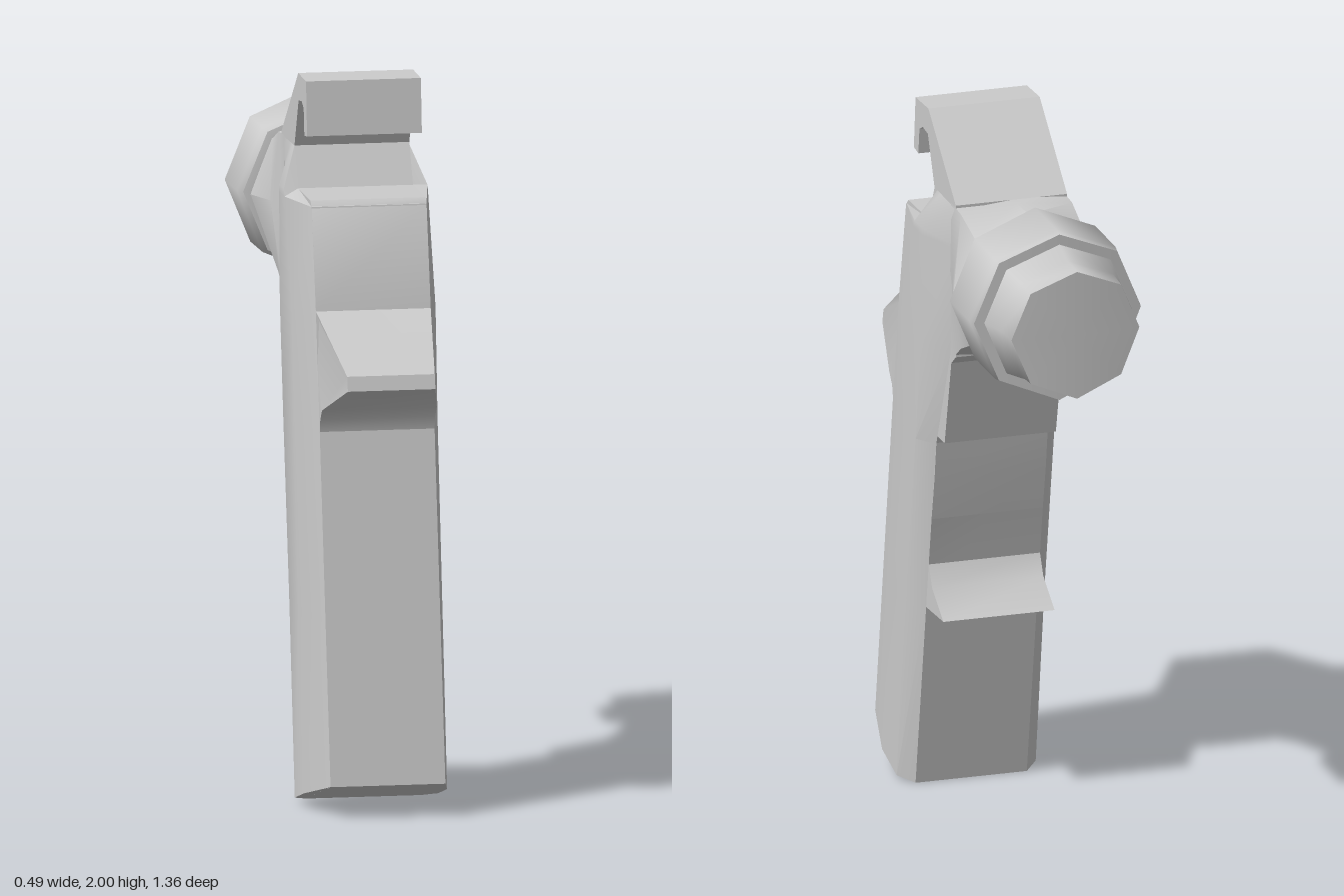
import * as THREE from 'three';
import { toCreasedNormals } from 'three/addons/utils/BufferGeometryUtils.js';

const HALF = 0.16; // half width of the flat outline

export function createModel() {
  const group = new THREE.Group();
  const material = new THREE.MeshStandardMaterial({ color: 0xcccccc });

  function add(name, geometry, crease = 0.6) {
    const mesh = new THREE.Mesh(toCreasedNormals(geometry, crease), material);
    mesh.name = name;
    group.add(mesh);
    return mesh;
  }

  // Side outline given as [z, y], extruded across x
  function slab(points) {
    const shape = new THREE.Shape(points.map(([z, y]) => new THREE.Vector2(z, y)));
    const g = new THREE.ExtrudeGeometry(shape, { depth: 2 * HALF, bevelEnabled: false });
    return g.translate(0, 0, -HALF).rotateY(-Math.PI / 2);
  }

  // Skin over equal-length rings of [x, y, z], capped at both ends
  function loft(rings) {
    const n = rings[0].length;
    const index = [];
    for (let i = 0; i < rings.length - 1; i++) {
      for (let j = 0; j < n; j++) {
        const k = (j + 1) % n;
        const a = i * n + j, b = i * n + k;
        index.push(a, b, b + n, a, b + n, a + n);
      }
    }
    const last = (rings.length - 1) * n;
    for (let j = 1; j < n - 1; j++) {
      index.push(0, j + 1, j, last, last + j, last + j + 1);
    }
    const g = new THREE.BufferGeometry();
    g.setAttribute('position', new THREE.Float32BufferAttribute(rings.flat(2), 3));
    g.setIndex(index);
    return g;
  }

  // Grip with top hook, trigger step and lower finger rest
  add('gripBody', slab([
    [0.626, 0.095], [0.265, 0.005], [0.17, 0.547], [0.016, 0.555], [0.117, 0.62],
    [0.15, 0.684], [0.095, 0.945], [0.075, 1.077], [0.005, 1.077], [-0.055, 1.33],
    [-0.095, 1.36], [-0.095, 1.80], [0.15, 2.0], [0.265, 1.995], [0.28, 1.845],
    [0.24, 1.84], [0.23, 1.915], [0.20, 1.93], [0.155, 1.925], [0.095, 1.79],
    [0.15, 1.68], [0.33, 1.675], [0.35, 1.655], [0.41, 1.38], [0.467, 1.055],
  ]));

  // Swollen sides of the grip: [y, half width, front, mid front, mid back, back]
  const swell = [
    [0, 0.2, 0.626, 0.44, 0.31, 0.265],
    [0.55, 0.2, 0.55, 0.37, 0.23, 0.17],
    [1.05, 0.2, 0.467, 0.3, 0.14, 0.08],
    [1.36, 0.2, 0.413, 0.27, 0.09, -0.05],
    [1.66, 0.2, 0.348, 0.16, 0.08, -0.09],
    [1.68, 0.2, 0.15, 0.149, 0.08, -0.09],
    [1.79, HALF, 0.095, 0.07, 0.04, -0.09],
  ].map(([y, w, f, m1, m2, b], i) => {
    const half = [[HALF, f], [w, m1], [w, m2], [HALF, b]];
    const mirrored = half.map(([x, z]) => [-x, z]).reverse();
    // The lowest ring follows the sloped base
    return [...half, ...mirrored].map(([x, z]) =>
      [x, i === 0 ? 0.005 + (z - 0.265) * 0.25 : y, z]);
  });
  add('gripSides', loft(swell));

  // Thumb spur, narrowing to its tip
  const spur = slab([
    [0.35, 1.38], [0.35, 1.05], [0.467, 1.055], [0.475, 1.09], [0.5, 1.12],
    [0.68, 1.2], [0.67, 1.24], [0.41, 1.38],
  ]);
  const p = spur.attributes.position;
  for (let i = 0; i < p.count; i++) {
    if (p.getZ(i) > 0.6) p.setX(i, Math.sign(p.getX(i)) * 0.122);
  }
  add('thumbSpur', spur);

  // Neck, from a square section to an octagon:
  // [z, top, corner top, middle, corner bottom, bottom, corner half, side half]
  const neck = [
    [-0.05, 1.795, 1.795, 1.6, 1.335, 1.335, 0.16, 0.163],
    [-0.14, 1.805, 1.79, 1.6, 1.40, 1.385, 0.16, 0.183],
    [-0.25, 1.81, 1.755, 1.6, 1.45, 1.395, 0.155, 0.217],
    [-0.30, 1.80, 1.745, 1.6, 1.46, 1.405, 0.15, 0.205],
  ].map(([z, t, ct, m, cb, b, c, s]) => [
    [0, t, z], [c, ct, z], [s, m, z], [c, cb, z],
    [0, b, z], [-c, cb, z], [-s, m, z], [-c, ct, z],
  ]);
  add('neck', loft(neck));

  // Eight-sided turned parts along -z: [radius, distance back]
  function turned(name, profile) {
    const g = new THREE.LatheGeometry(profile.map(([r, d]) => new THREE.Vector2(r, d)), 8);
    g.rotateX(-Math.PI / 2);
    const q = g.attributes.position;
    for (let i = 0; i < q.count; i++) {
      // Rear rims bow outward at the middle
      if (q.getZ(i) < -0.45) q.setZ(i, q.getZ(i) + 0.08 * Math.abs(q.getX(i)));
    }
    add(name, g, 0.9).position.y = 1.603;
  }
  turned('collar', [
    [0, 0.275], [0.2, 0.275], [0.232, 0.28], [0.245, 0.305],
    [0.245, 0.5], [0.24, 0.525], [0, 0.525],
  ]);
  turned('endCap', [[0, 0.5], [0.213, 0.5], [0.21, 0.535], [0.188, 0.6], [0.184, 0.682], [0, 0.682]]);

  return group;
}
